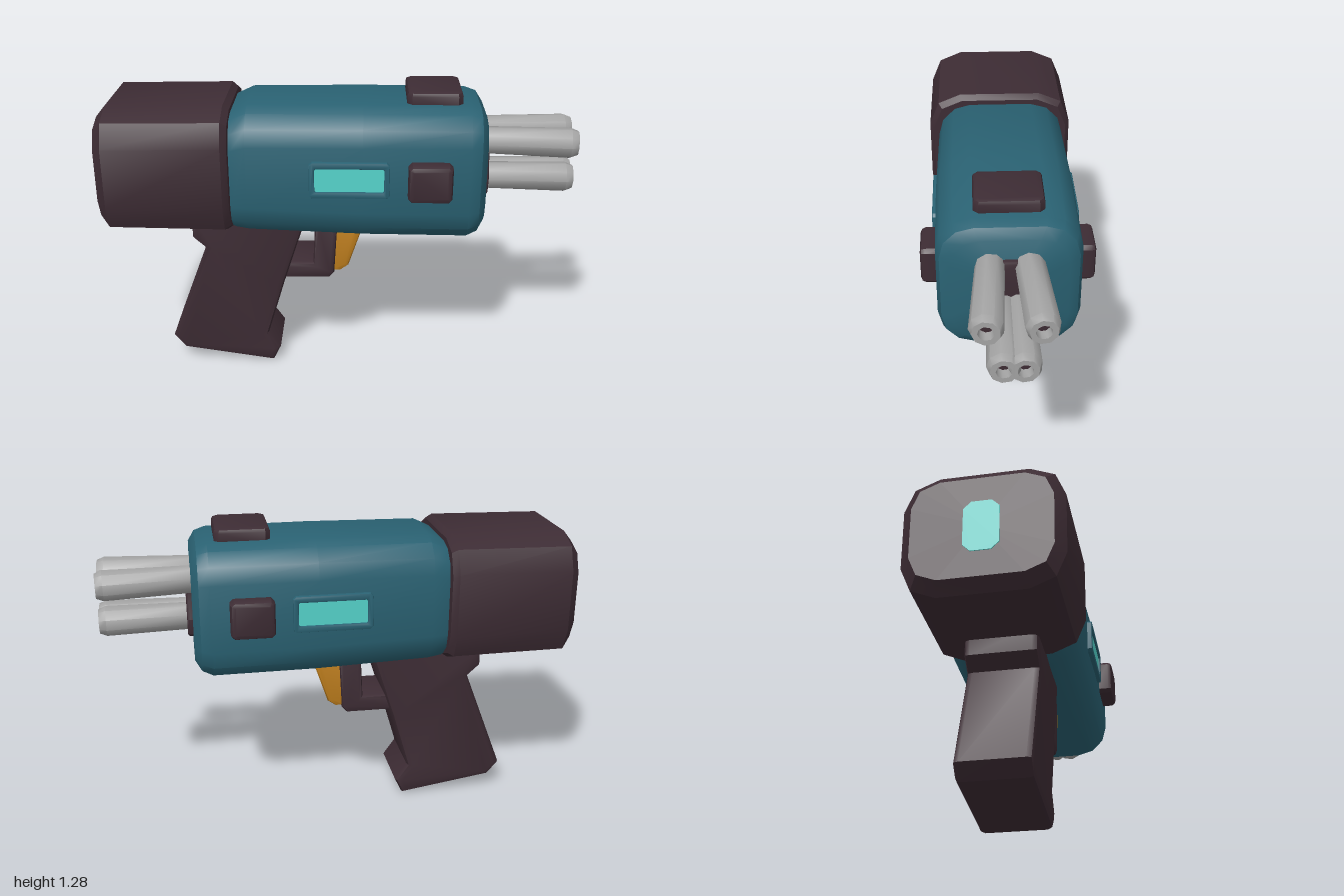
import * as THREE from 'three';
import { toCreasedNormals } from 'three/addons/utils/BufferGeometryUtils.js';

const material = (name, color) => new THREE.MeshStandardMaterial({ name, color });

// Rounded rectangle outline in the z/y plane
function ring(halfZ, y0, y1, r, steps = 3) {
  const out = [];
  const cy = (y0 + y1) / 2, halfY = (y1 - y0) / 2;
  for (let q = 0; q < 4; q++) {
    const sz = q === 0 || q === 3 ? 1 : -1, sy = q < 2 ? 1 : -1;
    for (let i = 0; i <= steps; i++) {
      const a = (q + i / steps) * Math.PI / 2;
      out.push([sz * (halfZ - r) + r * Math.cos(a), cy + sy * (halfY - r) + r * Math.sin(a)]);
    }
  }
  return out;
}

// Closed skin over sections [x, halfZ, y0, y1, cornerRadius], ordered along +x
function loft(sections, steps, crease = 0.62) {
  const pos = [], index = [];
  let n = 0;
  for (const [x, ...rest] of sections) {
    const pts = ring(...rest, steps);
    n = pts.length;
    for (const [z, y] of pts) pos.push(x, y, z);
  }
  const last = sections.length - 1;
  for (const k of [0, last]) pos.push(sections[k][0], (sections[k][2] + sections[k][3]) / 2, 0);
  const c0 = n * sections.length;
  for (let i = 0; i < n; i++) {
    const j = (i + 1) % n;
    for (let k = 0; k < last; k++) {
      const a = k * n, b = a + n;
      index.push(a + i, b + i, b + j, a + i, b + j, a + j);
    }
    index.push(c0, i, j, c0 + 1, last * n + j, last * n + i);
  }
  const g = new THREE.BufferGeometry();
  g.setAttribute('position', new THREE.Float32BufferAttribute(pos, 3));
  g.setIndex(index);
  return toCreasedNormals(g, crease);
}

// Bevelled plate from an x/y outline, centred on z = 0
function slab(points, depth, bevel, hole) {
  const shape = new THREE.Shape(points.map(([x, y]) => new THREE.Vector2(x, y)));
  if (hole) shape.holes.push(new THREE.Path(hole.map(([x, y]) => new THREE.Vector2(x, y))));
  const g = new THREE.ExtrudeGeometry(shape, {
    depth: depth - 2 * bevel, bevelEnabled: bevel > 0, bevelThickness: bevel,
    bevelSize: bevel, bevelOffset: -bevel, bevelSegments: 2, curveSegments: 8,
  });
  g.translate(0, 0, bevel - depth / 2);
  return toCreasedNormals(g, 0.6);
}

// Rectangle outline with clipped corners
function rect(w, h, c) {
  const a = w / 2, b = h / 2;
  return [[-a + c, -b], [a - c, -b], [a, -b + c], [a, b - c],
    [a - c, b], [-a + c, b], [-a, b - c], [-a, -b + c]];
}

export function createModel() {
  const model = new THREE.Group();
  model.name = 'toyBlaster';
  const dark = material('dark plum', 0x3d2c34);
  const teal = material('teal', 0x2a6273);
  const cyan = material('glowing cyan', 0x55d3cb);
  const grey = material('barrel grey', 0xa3a3a3);
  const orange = material('trigger orange', 0xbd7d1c);

  const add = (name, geometry, mat, x = 0, y = 0, z = 0, parent = model) => {
    const mesh = new THREE.Mesh(geometry, mat);
    mesh.name = name;
    mesh.position.set(x, y, z);
    parent.add(mesh);
    return mesh;
  };

  // Main housing and rear cap
  add('body', loft([
    [-0.48, 0.25, 0.71, 1.18, 0.12],
    [-0.44, 0.265, 0.69, 1.2, 0.13],
    [-0.38, 0.275, 0.68, 1.228, 0.14],
    [0.1, 0.283, 0.665, 1.232, 0.14],
    [0.54, 0.28, 0.66, 1.23, 0.14],
    [0.585, 0.265, 0.68, 1.215, 0.13],
    [0.612, 0.225, 0.72, 1.175, 0.11],
  ], 3), teal);
  add('rearCap', loft([
    [-1, 0.275, 0.74, 1.18, 0.11],
    [-0.96, 0.315, 0.69, 1.228, 0.14],
    [-0.475, 0.318, 0.685, 1.235, 0.14],
    [-0.45, 0.3, 0.7, 1.215, 0.13],
  ], 2, 0.5), dark);
  add('rearLight', slab(rect(0.14, 0.22, 0.03), 0.008, 0), cyan, -1, 0.96, 0).rotation.y = -Math.PI / 2;

  // Windows and pads on both sides
  for (const s of [1, -1]) {
    const side = s > 0 ? 'left' : 'right';
    add(side + 'WindowFrame', slab(rect(0.33, 0.155, 0.012), 0.05, 0.005, rect(0.285, 0.1, 0.005)),
      teal, 0.045, 0.957, s * 0.275);
    add(side + 'Window', slab(rect(0.29, 0.105, 0.005), 0.008, 0), cyan, 0.043, 0.96, s * 0.288);
    add(side + 'Pad', slab(rect(0.18, 0.16, 0.015), 0.1, 0.02), dark, 0.375, 0.955, s * 0.293);
  }
  add('topPad', slab(rect(0.23, 0.27, 0.02), 0.09, 0.018), dark, 0.395, 1.237, 0).rotation.x = -Math.PI / 2;

  // Barrel mount on the front face
  const mount = [[-0.11, 0.83], [-0.05, 0.8], [0.05, 0.8], [0.11, 0.83], [0.125, 0.9], [0.1, 0.965],
    [0.1, 1.04], [0.05, 1.09], [-0.05, 1.09], [-0.1, 1.04], [-0.1, 0.965], [-0.125, 0.9]];
  add('barrelMount', slab(mount, 0.06, 0.01), dark, 0.605).rotation.y = Math.PI / 2;

  // Four slightly splayed barrels with dark bores
  const profile = [[0.058, 0], [0.064, 0.36], [0.052, 0.39], [0.03, 0.39], [0.026, 0.34]]
    .map(([r, y]) => new THREE.Vector2(r, y));
  const barrelGeo = toCreasedNormals(new THREE.LatheGeometry(profile, 9), 0.75);
  const boreGeo = new THREE.CylinderGeometry(0.028, 0.028, 0.01, 9);
  const barrels = [[1.062, 0.075, 0.1], [1.062, -0.075, -0.1], [0.888, 0.032, 0.038], [0.888, -0.032, -0.038]];
  for (const [y, z0, z1] of barrels) {
    const barrel = new THREE.Group();
    barrel.name = 'barrel';
    add('tube', barrelGeo, grey, 0, 0, 0, barrel);
    add('bore', boreGeo, dark, 0, 0.345, 0, barrel);
    barrel.position.set(0.609, y, z0);
    const dir = new THREE.Vector3(0.39, -0.004, z1 - z0).normalize();
    barrel.quaternion.setFromUnitVectors(new THREE.Vector3(0, 1, 0), dir);
    model.add(barrel);
  }

  // Slanted grip with a toe at the bottom
  add('grip', slab([[-0.64, 0.72], [-0.64, 0.62], [-0.585, 0.57], [-0.755, 0.125], [-0.705, 0.065],
    [-0.3, 0.003], [-0.268, 0.07], [-0.32, 0.145], [-0.245, 0.4], [-0.155, 0.68], [-0.155, 0.72]],
  0.3, 0.025), dark);

  // Guard and trigger
  add('triggerGuard', slab([[-0.26, 0.42], [-0.045, 0.42], [-0.022, 0.445], [-0.005, 0.69],
    [-0.105, 0.69], [-0.115, 0.495], [-0.26, 0.495]], 0.25, 0.02), dark);
  add('trigger', slab([[-0.03, 0.45], [0.005, 0.45], [0.04, 0.475], [0.092, 0.63], [0.085, 0.69], [-0.03, 0.69]],
    0.22, 0.018), orange);

  return model;
}
